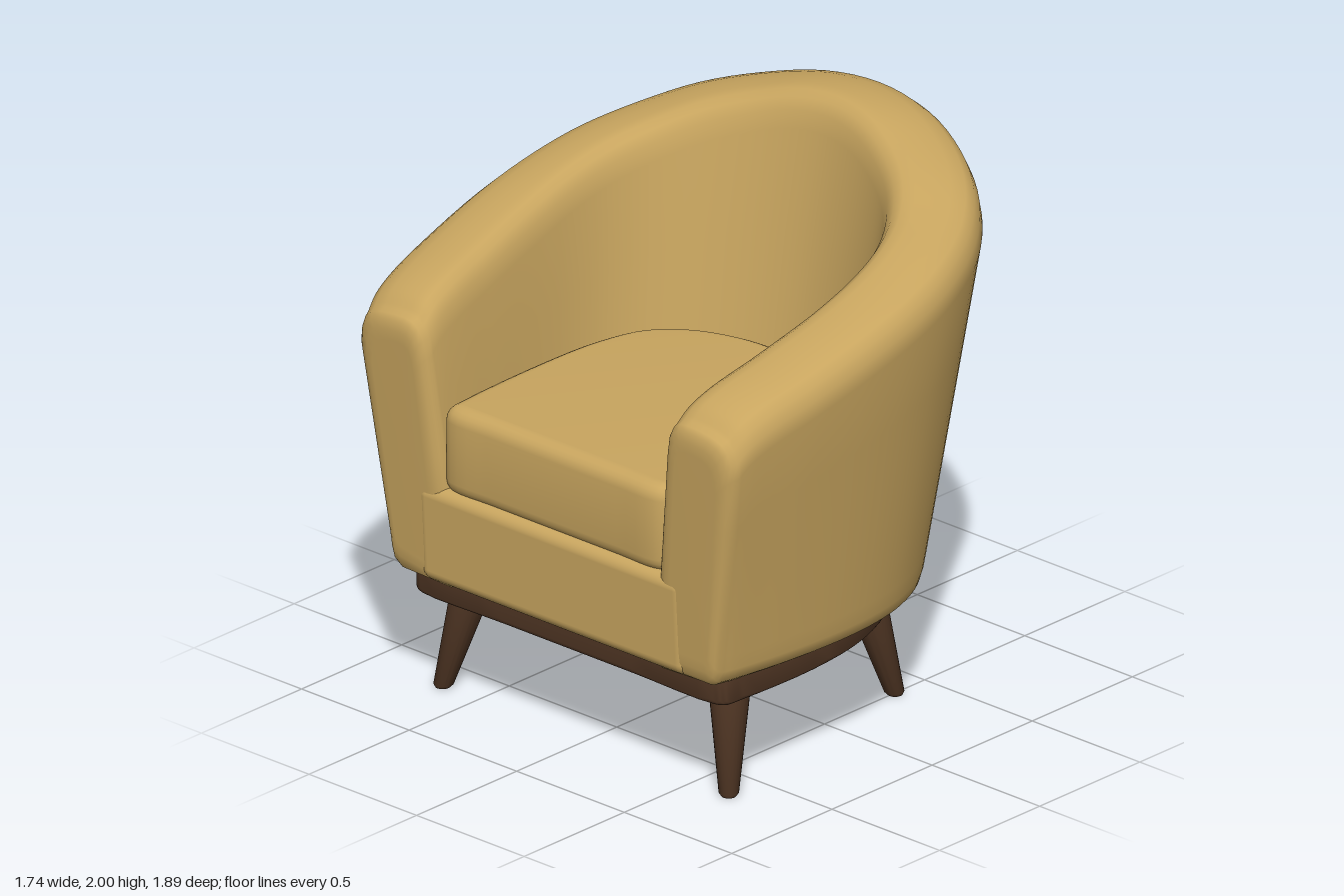
import * as THREE from 'three';
import { toCreasedNormals } from 'three/addons/utils/BufferGeometryUtils.js';
import { RoundedBoxGeometry } from 'three/addons/geometries/RoundedBoxGeometry.js';

const fabric = new THREE.MeshStandardMaterial({ color: 0xc8a55f });
fabric.name = 'mustardFabric';
const wood = new THREE.MeshStandardMaterial({ color: 0x503624 });
wood.name = 'darkWood';

const V = (x, y, z) => new THREE.Vector3(x, y, z);

function addMesh(group, name, geometry, material) {
  const mesh = new THREE.Mesh(geometry, material);
  mesh.name = name;
  group.add(mesh);
  return mesh;
}

// Skin a list of closed rings that all have the same number of points
function loft(rings) {
  const n = rings[0].length, pos = [], index = [];
  rings.forEach((ring) => ring.forEach((p) => pos.push(p.x, p.y, p.z)));
  for (let i = 0; i < rings.length - 1; i++) {
    for (let j = 0; j < n; j++) {
      const k = (j + 1) % n;
      const a = i * n + j, b = a + n, c = (i + 1) * n + k, d = i * n + k;
      index.push(a, b, c, a, c, d);
    }
  }
  const geo = new THREE.BufferGeometry();
  geo.setAttribute('position', new THREE.Float32BufferAttribute(pos, 3));
  geo.setIndex(index);
  geo.computeVertexNormals();
  return geo;
}

// Half plan of the tub, arm front to back centre: outer x, z, inner x, z, rim height
const STATIONS = [
  [-0.83, 0.875, -0.83, 0.555, 1.45],
  [-0.78, 0.888, -0.78, 0.56, 1.495],
  [-0.68, 0.905, -0.68, 0.57, 1.54],
  [-0.5, 0.928, -0.5, 0.588, 1.59],
  [-0.2, 0.945, -0.22, 0.61, 1.67],
  [0.05, 0.93, -0.04, 0.61, 1.73],
  [0.25, 0.885, 0.11, 0.585, 1.78],
  [0.45, 0.795, 0.25, 0.525, 1.83],
  [0.62, 0.655, 0.37, 0.425, 1.89],
  [0.75, 0.47, 0.455, 0.295, 1.94],
  [0.84, 0.24, 0.51, 0.15, 1.985],
  [0.87, 0, 0.53, 0, 2.0],
];

// Rim cross-section: fraction from outer to inner edge, drop below the rim height
const RIM = [
  [0, 0.15], [0.025, 0.095], [0.08, 0.052], [0.17, 0.026], [0.32, 0.01], [0.5, 0.003],
  [0.68, 0], [0.8, 0.006], [0.89, 0.025], [0.96, 0.065], [1, 0.13],
];

// One closed cross-section of the tub
function tubSection(outer, inner) {
  const h = outer.y;
  const ob = V(-0.78 + (outer.x + 0.83) * 0.83, 0, outer.z * 0.87);
  const ib = V(-0.8 + (inner.x + 0.83) * 0.838, 0, inner.z * 0.88);
  const at = (a, b, t, y) => a.clone().lerp(b, t).setY(y);
  const ring = [at(ob, ib, 0.16, 0.47), at(ob, ib, 0.05, 0.49), at(ob, ib, 0.01, 0.53)];
  for (const t of [0, 0.33, 0.7]) {
    ring.push(at(ob, outer, 0.04 + 0.96 * t, 0.59 + (h - 0.74) * t));
  }
  for (const [w, drop] of RIM) ring.push(at(outer, inner, w, h - drop));
  for (const t of [0.35, 0.7, 1]) ring.push(at(inner, ib, t, h - 0.13 + (0.93 - h) * t));
  ring.push(at(ib, ib, 0, 0.47));
  return ring;
}

// Shrink an arm's end section about its middle, pushed forward, to round the arm front
function armCap(ring, sy, sz, dx) {
  const box = new THREE.Box3().setFromPoints(ring);
  const c = box.getCenter(V(0, 0, 0));
  return ring.map((p) => {
    const y = c.y + (p.y - c.y) * sy;
    // follow the forward lean of the arm front
    const lean = -0.78 - Math.max(0, y - 0.5) * 0.058;
    return V(lean - dx, y, c.z + (p.z - c.z) * sz);
  });
}

function tubGeometry() {
  const mirrored = (f) => [
    ...STATIONS.map((s) => f(s, 1)),
    ...STATIONS.slice(0, -1).reverse().map((s) => f(s, -1)),
  ];
  const outer = new THREE.CatmullRomCurve3(mirrored((s, m) => V(s[0], s[4], s[1] * m)));
  const inner = new THREE.CatmullRomCurve3(mirrored((s, m) => V(s[2], s[4], s[3] * m)));
  const rings = [];
  const N = 88;
  for (let i = 0; i <= N; i++) rings.push(tubSection(outer.getPoint(i / N), inner.getPoint(i / N)));
  const CAP = [[0.985, 0.95, 0.02], [0.95, 0.87, 0.034], [0.88, 0.74, 0.042], [0.8, 0.6, 0.043], [0, 0, 0.043]];
  const first = rings[0], last = rings[N];
  for (const [sy, sz, dx] of CAP) {
    rings.unshift(armCap(first, sy, sz, dx));
    rings.push(armCap(last, sy, sz, dx));
  }
  return loft(rings);
}

// D-shaped slab with rounded edges; half outline runs from the front corner to the back centre
function dSlab(half, y0, y1, bevel) {
  const pts = half.map(([x, z]) => V(x, z, 0));
  const back = half.slice(0, -1).reverse().map(([x, z]) => V(x, -z, 0));
  const curve = new THREE.CatmullRomCurve3([...pts, ...back]);
  const shape = new THREE.Shape(curve.getPoints(72).map((p) => new THREE.Vector2(p.x, p.y)));
  const geo = new THREE.ExtrudeGeometry(shape, {
    depth: y1 - y0 - 2 * bevel, bevelThickness: bevel, bevelSize: bevel,
    bevelOffset: -bevel, bevelSegments: 5,
  });
  geo.rotateX(-Math.PI / 2);
  geo.translate(0, y0 + bevel, 0);
  return toCreasedNormals(geo, 0.7);
}

// Tapered leg, sheared so that the foot stays level
function legGeometry(foot, top) {
  const h = 0.41;
  const profile = [[0, 0], [0.026, 0], [0.035, 0.012], [0.078, h], [0, h]];
  const geo = new THREE.LatheGeometry(profile.map(([r, y]) => new THREE.Vector2(r, y)), 24);
  const p = geo.attributes.position;
  for (let i = 0; i < p.count; i++) {
    const t = p.getY(i) / h;
    p.setX(i, p.getX(i) + foot[0] + (top[0] - foot[0]) * t);
    p.setZ(i, p.getZ(i) + foot[1] + (top[1] - foot[1]) * t);
  }
  return toCreasedNormals(geo, 0.7);
}

export function createModel() {
  const chair = new THREE.Group();
  chair.name = 'tubArmchair';

  // Wrap-around back and arms
  addMesh(chair, 'backAndArms', tubGeometry(), fabric);

  // Seat deck with the front panel, leaning like the arm fronts
  const deck = new RoundedBoxGeometry(1.13, 0.37, 1.24, 5, 0.045);
  const p = deck.attributes.position;
  for (let i = 0; i < p.count; i++) p.setX(i, p.getX(i) - p.getY(i) * 0.058);
  deck.translate(-0.27, 0.655, 0);
  addMesh(chair, 'seatDeck', deck, fabric);

  // Loose seat cushion
  addMesh(chair, 'seatCushion', dSlab([
    [-0.825, 0.3], [-0.825, 0.47], [-0.8, 0.512], [-0.72, 0.525], [-0.3, 0.537], [-0.05, 0.52],
    [0.13, 0.465], [0.25, 0.34], [0.315, 0.17], [0.33, 0],
  ], 0.82, 1.15, 0.055), fabric);

  // Wooden plinth
  addMesh(chair, 'basePlinth', dSlab([
    [-0.75, 0.3], [-0.75, 0.68], [-0.725, 0.72], [-0.65, 0.73], [-0.3, 0.737], [0, 0.69],
    [0.25, 0.57], [0.43, 0.38], [0.53, 0.18], [0.56, 0],
  ], 0.37, 0.49, 0.02), wood);

  // Splayed legs
  for (const s of [1, -1]) {
    const side = s > 0 ? 'Left' : 'Right';
    addMesh(chair, 'frontLeg' + side, legGeometry([-0.655, 0.665 * s], [-0.57, 0.59 * s]), wood);
    addMesh(chair, 'backLeg' + side, legGeometry([0.347, 0.505 * s], [0.265, 0.425 * s]), wood);
  }
  return chair;
}
